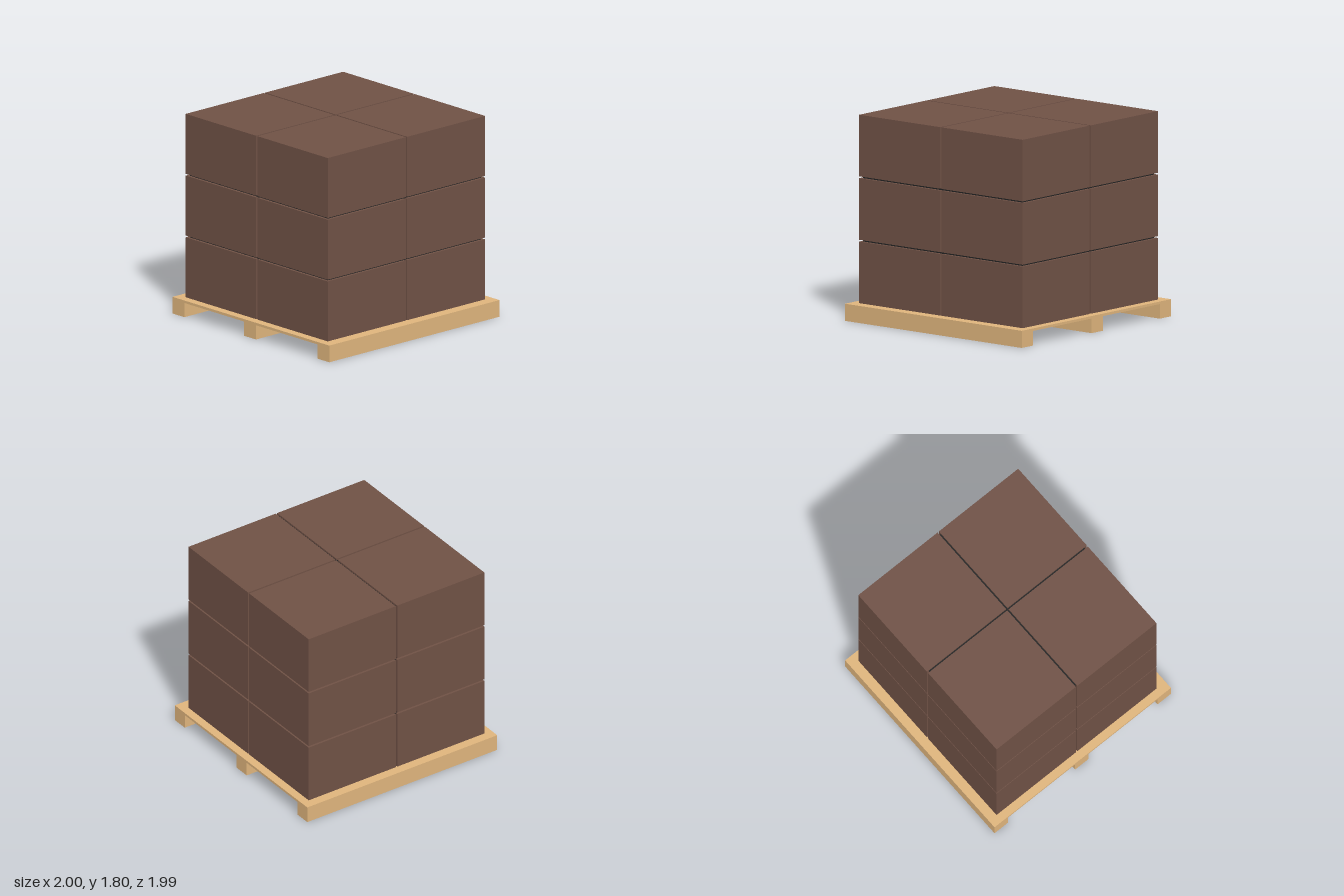
import * as THREE from 'three';

export function createModel() {
  const model = new THREE.Group();
  const wood = new THREE.MeshStandardMaterial({ color: 0xdeb47c });
  const card = new THREE.MeshStandardMaterial({ color: 0x6f5145 });
  const dark = new THREE.MeshStandardMaterial({ color: 0x222222 });

  // Box given by its min and max corners
  function box(name, parent, material, [x0, y0, z0], [x1, y1, z1]) {
    const mesh = new THREE.Mesh(new THREE.BoxGeometry(x1 - x0, y1 - y0, z1 - z0), material);
    mesh.position.set((x0 + x1) / 2, (y0 + y1) / 2, (z0 + z1) / 2);
    mesh.name = name;
    parent.add(mesh);
  }

  // Pallet: three rails across x, joined by thin slats along z
  const pallet = new THREE.Group();
  pallet.name = 'pallet';
  model.add(pallet);
  const deck = 0.15;
  const rails = [[-0.993, -0.843], [-0.085, 0.065], [0.843, 0.993]];
  for (const [z0, z1] of rails) box('rail', pallet, wood, [-1, 0, z0], [1, deck, z1]);
  for (const x of [-0.925, 0, 0.925]) {
    for (let i = 0; i < 2; i++) {
      box('slat', pallet, wood, [x - 0.075, 0.128, rails[i][1]], [x + 0.075, deck, rails[i + 1][0]]);
    }
  }

  // Stack of cartons: 2 x 3 x 2 with narrow gaps
  const load = new THREE.Group();
  load.name = 'cartonStack';
  load.position.z = -0.007;
  model.add(load);
  const hx = 0.925, hz = 0.9, gap = 0.016, top = 1.8;
  const height = (top - deck - 2 * gap) / 3;
  for (let layer = 0; layer < 3; layer++) {
    const y = deck + layer * (height + gap);
    for (const x of [-hx, gap / 2]) {
      for (const z of [-hz, gap / 2]) {
        box('carton', load, card, [x, y, z], [x + hx - gap / 2, y + height, z + hz - gap / 2]);
      }
    }
  }

  // Dark separator sheets, slightly recessed in the gaps
  const g = gap / 2, sx = hx - 0.025, sz = hz - 0.025, y0 = deck + 0.025, y1 = top - 0.015;
  box('separatorSheet', load, dark, [-g, y0, -sz], [g, y1, sz]);
  box('separatorSheet', load, dark, [-sx, y0, -g], [sx, y1, g]);
  for (const layer of [1, 2]) {
    const y = deck + layer * (height + gap) - gap;
    box('layerSheet', load, dark, [-sx, y, -sz], [sx, y + gap, sz]);
  }
  return model;
}
